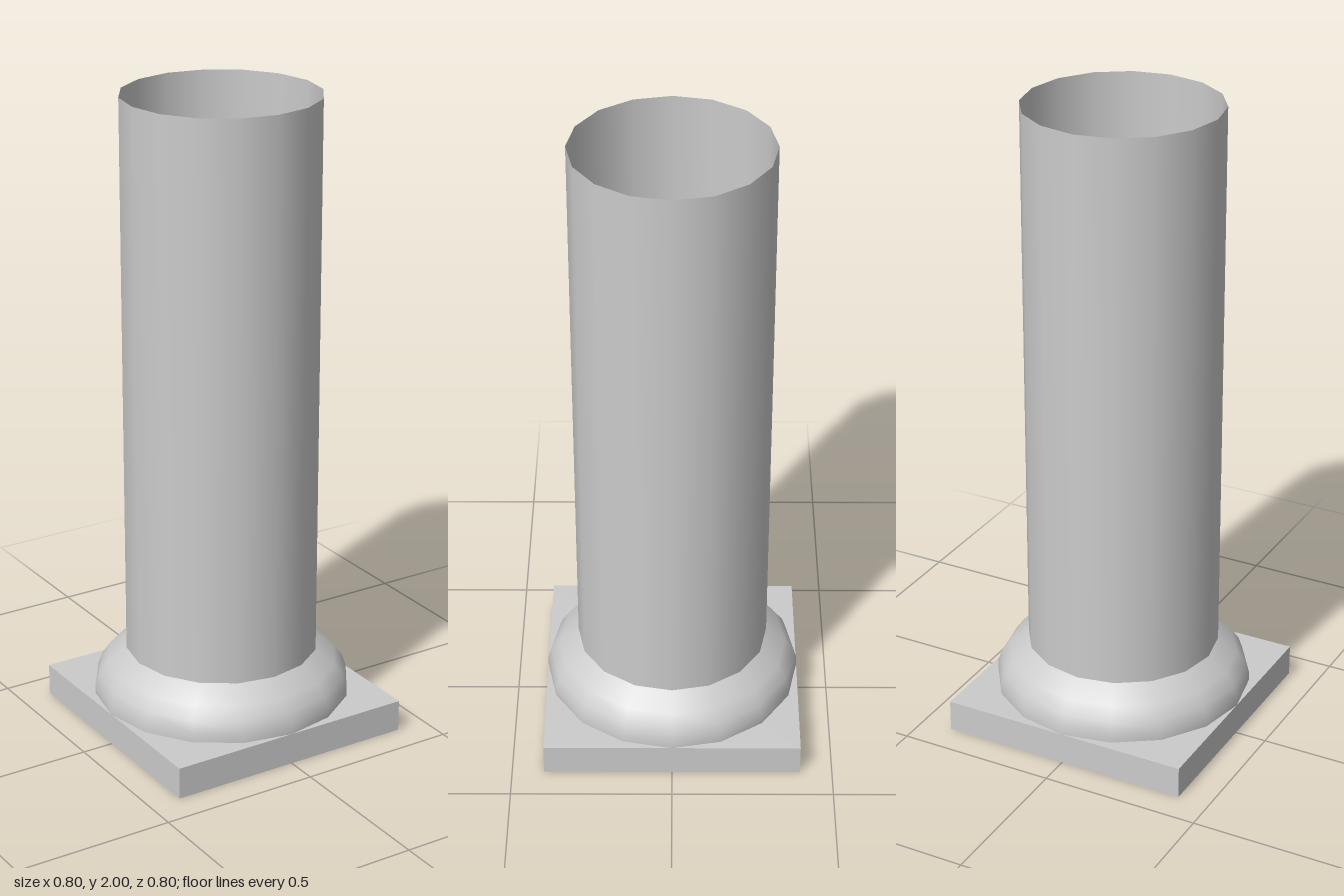
import * as THREE from 'three';

const SIDES = 16;

export function createModel() {
  const group = new THREE.Group();
  const solid = new THREE.MeshStandardMaterial({ color: 0xcccccc });
  const open = new THREE.MeshStandardMaterial({ color: 0xcccccc, side: THREE.DoubleSide });

  const add = (name, geometry, material, y = 0) => {
    const mesh = new THREE.Mesh(geometry, material);
    mesh.name = name;
    mesh.position.y = y;
    group.add(mesh);
  };

  // Square slab under the column
  add('plinth', new THREE.BoxGeometry(0.8, 0.1, 0.8), solid, 0.05);

  // Rounded moulding that narrows from the plinth to the shaft
  const profile = [
    [0.4, 0.1], [0.4, 0.13], [0.388, 0.165], [0.36, 0.205], [0.3, 0.25],
  ].map(([x, y]) => new THREE.Vector2(x, y));
  add('baseMoulding', new THREE.LatheGeometry(profile, SIDES), open);

  // Hollow shaft, open at the top
  add('shaft', new THREE.CylinderGeometry(0.3, 0.3, 1.75, SIDES, 1, true), open, 1.125);

  return group;
}
